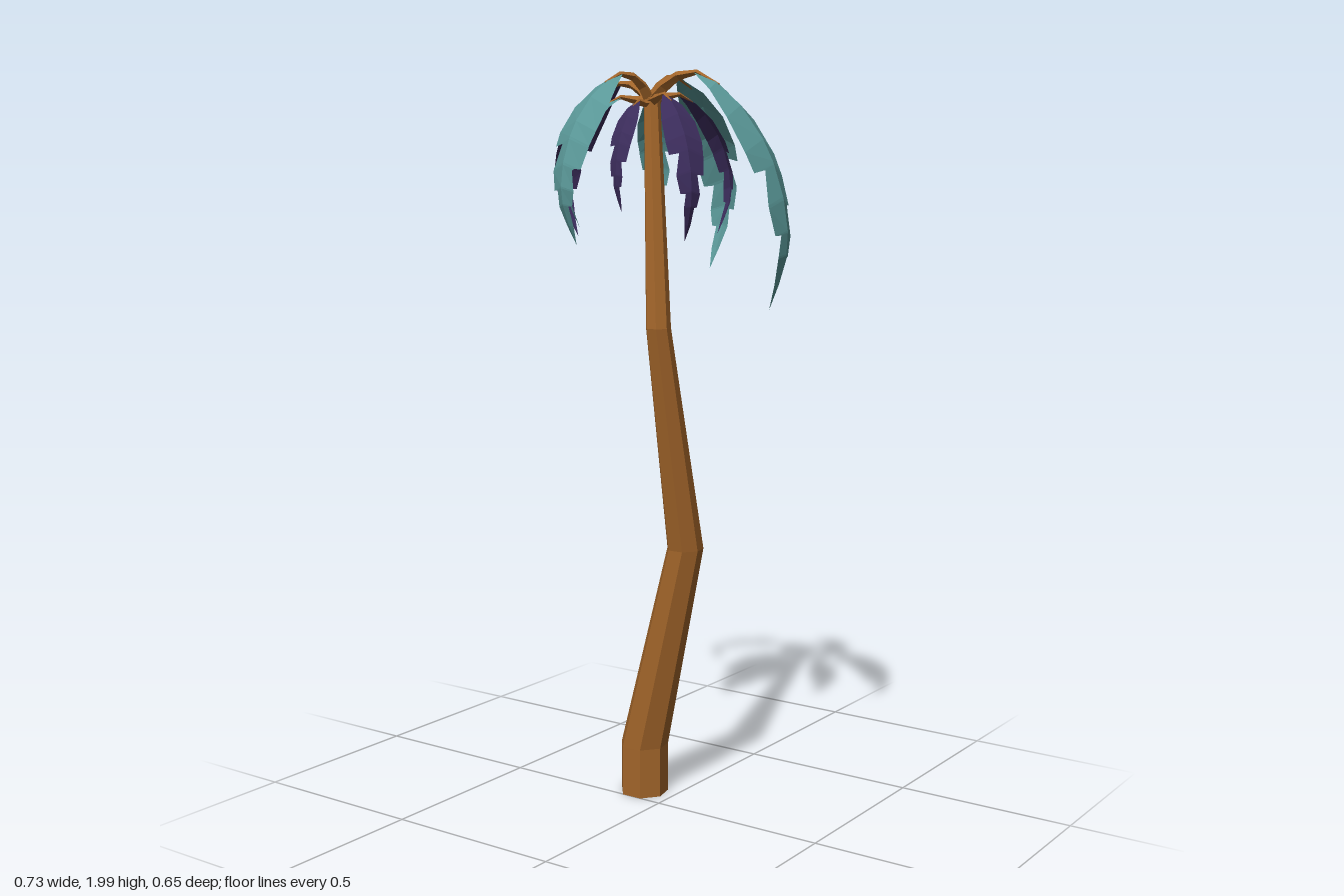
import * as THREE from 'three';

const mat = (color, side = THREE.FrontSide) =>
  new THREE.MeshStandardMaterial({ color, flatShading: true, side });
const BROWN = mat(0xa2652a);
const TEAL = mat(0x5a9898, THREE.DoubleSide);
const PURPLE = mat(0x3b2c5b, THREE.DoubleSide);
const CROWN = new THREE.Vector3(-0.015, 1.915, 0.015);

function meshFrom(triangles, material, name) {
  const geometry = new THREE.BufferGeometry().setFromPoints(triangles);
  geometry.computeVertexNormals();
  const mesh = new THREE.Mesh(geometry, material);
  mesh.name = name;
  return mesh;
}

// Ring of points around a centre, in the plane of e1 and e2, starting at -e2
function ring(center, e1, e2, r, sides) {
  return Array.from({ length: sides }, (_, i) => {
    const a = (i / sides) * Math.PI * 2 - Math.PI / 2;
    return center.clone().addScaledVector(e1, r * Math.cos(a)).addScaledVector(e2, r * Math.sin(a));
  });
}

// Skin over successive rings, closed at both ends
function loft(rings, material, name) {
  const tris = [];
  const n = rings[0].length;
  for (let i = 0; i < rings.length - 1; i++) {
    for (let j = 0; j < n; j++) {
      const k = (j + 1) % n;
      const [a, b, c, d] = [rings[i][j], rings[i][k], rings[i + 1][j], rings[i + 1][k]];
      tris.push(a, c, b, b, c, d);
    }
  }
  const first = rings[0], last = rings[rings.length - 1];
  for (let j = 1; j < n - 1; j++) {
    tris.push(first[0], first[j], first[j + 1], last[0], last[j + 1], last[j]);
  }
  return meshFrom(tris, material, name);
}

// Seven-sided trunk, kinked at each section: x, y, z, radius
function makeTrunk() {
  const sections = [
    [-0.093, 0, -0.06, 0.068],
    [-0.093, 0.14, -0.06, 0.068],
    [0.046, 0.72, -0.058, 0.051],
    [0.042, 1.33, 0.063, 0.034],
    [-0.012, 1.925, 0.015, 0.022],
  ];
  const ex = new THREE.Vector3(1, 0, 0), ez = new THREE.Vector3(0, 0, 1);
  return loft(sections.map(([x, y, z, r]) => ring(new THREE.Vector3(x, y, z), ex, ez, r, 7)), BROWN, 'trunk');
}

// Arching spine: share of the reach, share of the drop below the top
const ARC = [[0.16, 0.025], [0.36, 0], [0.63, 0.11], [0.87, 0.32], [1, 0.6], [0.98, 0.78], [0.84, 1]];

// Leaf outline: position along the leaf, left and right half-width; sudden drops are the notches
const OUTLINE = [
  [0, 0.1, 0.1], [0.12, 0.6, 0.56], [0.25, 0.95, 0.9], [0.38, 1, 1], [0.45, 0.92, 0.95],
  [0.46, 0.92, 0.45], [0.55, 0.78, 0.7], [0.56, 0.4, 0.7], [0.67, 0.52, 0.54],
  [0.68, 0.52, 0.28], [0.78, 0.38, 0.32], [0.79, 0.22, 0.32], [0.9, 0.17, 0.16], [1, 0, 0],
];

function makeFrond({ dx, dz, top, tip, width, material, sway }) {
  const side = new THREE.Vector3(-dz, 0, dx).normalize();
  const points = [CROWN.clone()];
  ARC.forEach(([u, d], i) => {
    const p = new THREE.Vector3(CROWN.x + dx * u, top - d * (top - tip), CROWN.z + dz * u);
    points.push(p.addScaledVector(side, sway * (i / 6) ** 2));
  });
  const spine = new THREE.CatmullRomCurve3(points);
  const frame = (t) => {
    const tangent = spine.getTangent(t);
    return { p: spine.getPoint(t), tangent, normal: side.clone().cross(tangent).normalize() };
  };

  // Stem tapering to a point on top of the leaf
  const thick = 0.012 + width * 0.06;
  const stemRings = [0, 0.09, 0.18, 0.28, 0.37].map((t, i) => {
    const { p, normal } = frame(t);
    return ring(p, side, normal, thick * (1 - i * 0.23), 4);
  });

  // Folded leaf blade with swept, notched edges
  const rows = OUTLINE.map(([s, l, r]) => {
    const { p, tangent, normal } = frame(0.27 + 0.73 * s);
    const edge = (w) => p.clone().addScaledVector(side, w)
      .addScaledVector(normal, -0.3 * Math.abs(w))
      .addScaledVector(tangent, 0.3 * Math.abs(w));
    return [edge(-l * width / 2), p, edge(r * width / 2)];
  });
  const tris = [];
  for (let i = 0; i < rows.length - 1; i++) {
    for (let j = 0; j < 2; j++) {
      const [a, b, c, d] = [rows[i][j], rows[i][j + 1], rows[i + 1][j], rows[i + 1][j + 1]];
      tris.push(a, b, c, b, d, c);
    }
  }

  const frond = new THREE.Group();
  frond.name = 'frond';
  frond.add(loft(stemRings, BROWN, 'frondStem'), meshFrom(tris, material, 'frondLeaf'));
  return frond;
}

export function createModel() {
  const tree = new THREE.Group();
  tree.name = 'palmTree';
  tree.add(makeTrunk());

  // Reach in x and z, top and tip heights, leaf width, colour, sideways sway of the tip
  const fronds = [
    [0.378, -0.042, 1.985, 1.38, 0.17, TEAL, -0.055],
    [-0.055, 0.308, 1.98, 1.55, 0.133, TEAL, 0],
    [0.02, -0.34, 1.98, 1.47, 0.15, TEAL, -0.02],
    [-0.35, -0.08, 1.965, 1.56, 0.13, PURPLE, 0],
    [0.22, 0.135, 1.93, 1.56, 0.1, PURPLE, 0],
    [-0.155, 0.163, 1.925, 1.59, 0.1, TEAL, 0],
    [0.104, -0.222, 1.935, 1.57, 0.09, PURPLE, 0],
    [-0.115, -0.192, 1.93, 1.59, 0.1, TEAL, 0],
    [0.006, 0.162, 1.915, 1.63, 0.065, PURPLE, 0],
  ];
  for (const [dx, dz, top, tip, width, material, sway] of fronds) {
    tree.add(makeFrond({ dx, dz, top, tip, width, material, sway }));
  }
  return tree;
}
